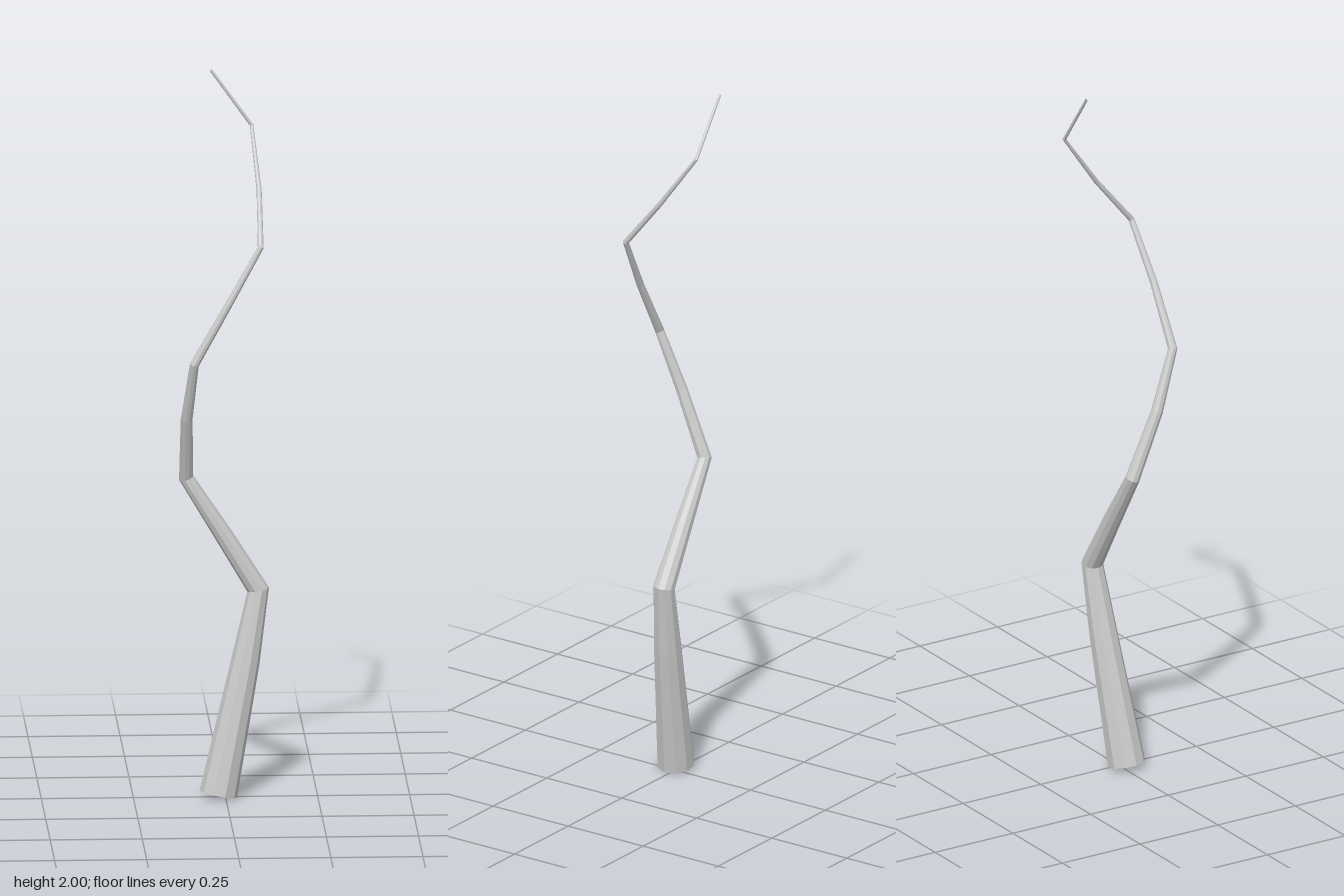
import * as THREE from 'three';

const SIDES = 10;

// Centre line and radius of the stem: x, y, z, r
const STATIONS = [
  [-0.02, 0.016, 0.013, 0.052],
  [0.055, 0.38, -0.014, 0.039],
  [0.09, 0.575, -0.027, 0.030],
  [-0.005, 0.73, -0.025, 0.025],
  [-0.106, 0.89, -0.022, 0.020],
  [-0.108, 1.07, 0.055, 0.0165],
  [-0.09, 1.235, 0.117, 0.013],
  [0.003, 1.4, 0.115, 0.0105],
  [0.091, 1.555, 0.1, 0.0085],
  [0.092, 1.69, -0.012, 0.007],
  [0.077, 1.845, -0.125, 0.005],
  [-0.033, 1.998, -0.125, 0.004],
];

// Skin of tapering rings, each mitred between its two neighbouring segments
function taperedTube(stations, sides) {
  const centres = stations.map(([x, y, z]) => new THREE.Vector3(x, y, z));
  const last = centres.length - 1;
  const direction = (i) => centres[i + 1].clone().sub(centres[i]).normalize();
  const positions = [], indices = [];
  const frame = new THREE.Quaternion();
  let tangent = new THREE.Vector3(0, 1, 0);

  centres.forEach((centre, i) => {
    const next = new THREE.Vector3();
    if (i > 0) next.add(direction(i - 1));
    if (i < last) next.add(direction(i));
    next.normalize();
    // Carry the ring's frame along the line without twisting it
    frame.premultiply(new THREE.Quaternion().setFromUnitVectors(tangent, next));
    tangent = next;
    for (let s = 0; s < sides; s++) {
      const a = (s / sides) * Math.PI * 2;
      const p = new THREE.Vector3(Math.cos(a), 0, Math.sin(a))
        .multiplyScalar(stations[i][3]).applyQuaternion(frame).add(centre);
      positions.push(p.x, p.y, p.z);
      if (i < last) {
        const b = i * sides + s, c = i * sides + (s + 1) % sides;
        indices.push(b, b + sides, c, c, b + sides, c + sides);
      }
    }
  });

  const geometry = new THREE.BufferGeometry();
  geometry.setAttribute('position', new THREE.Float32BufferAttribute(positions, 3));
  geometry.setIndex(indices);
  geometry.computeVertexNormals();
  return geometry;
}

export function createModel() {
  const model = new THREE.Group();
  model.name = 'crookedStem';
  // Open-ended stem, so both sides show
  const material = new THREE.MeshStandardMaterial({
    color: 0xcccccc, flatShading: true, side: THREE.DoubleSide,
  });
  const stem = new THREE.Mesh(taperedTube(STATIONS, SIDES), material);
  stem.name = 'stem';
  model.add(stem);
  return model;
}
